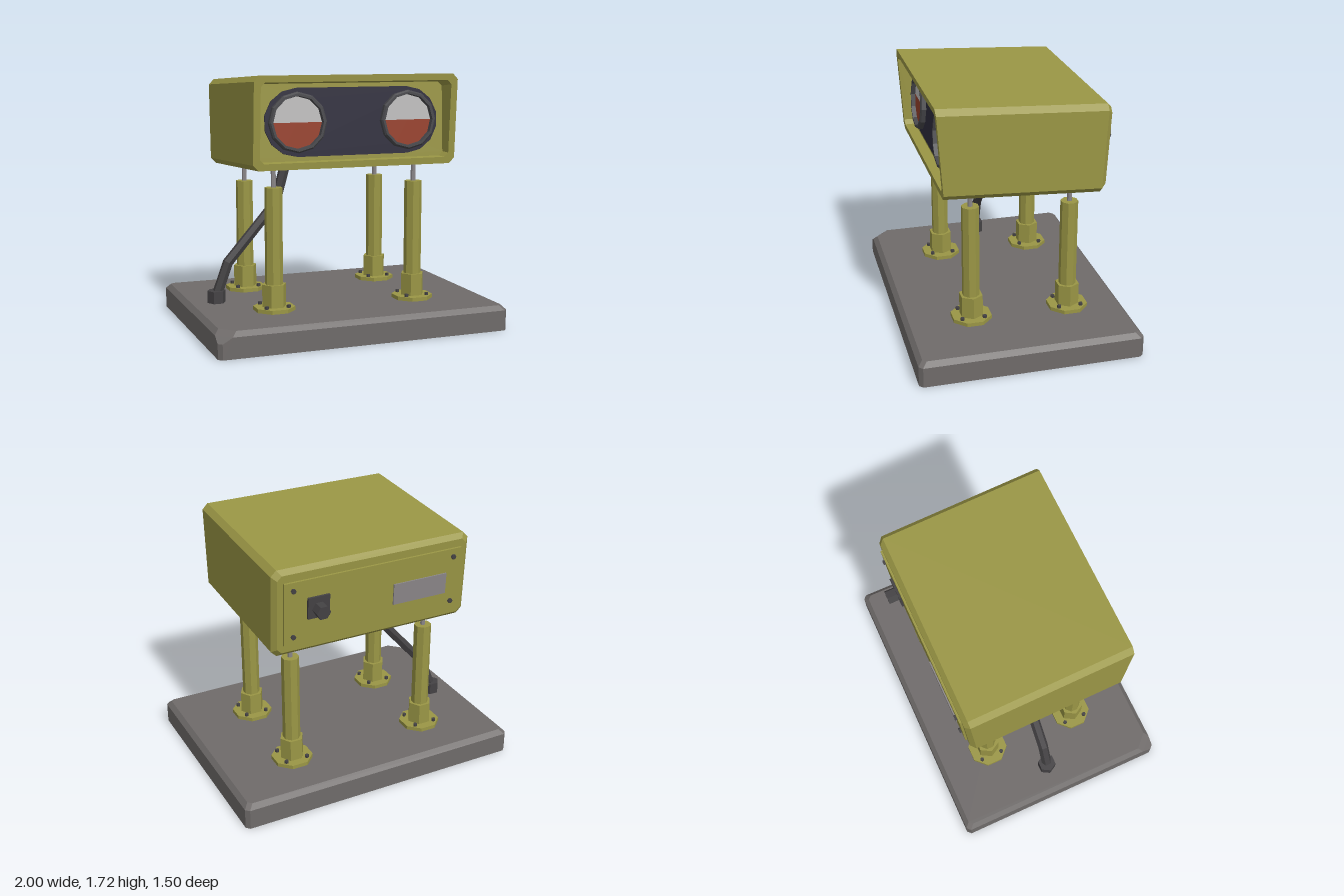
import * as THREE from 'three';
import { ConvexGeometry } from 'three/addons/geometries/ConvexGeometry.js';

const paint = (name, color, extra = {}) => {
  const m = new THREE.MeshStandardMaterial({ color, flatShading: true, ...extra });
  m.name = name;
  return m;
};

export function createModel() {
  const olive = paint('olive paint', 0x9a9645);
  const concrete = paint('concrete', 0x6f6b6a);
  const dark = paint('dark rubber', 0x444244);
  const navy = paint('navy glass', 0x2f2d3d);
  const white = paint('white lens', 0xbfbebe);
  const red = paint('red lens', 0x97402b);
  const steel = paint('steel', 0x8b8789);

  const model = new THREE.Group();
  model.name = 'approachLightUnit';

  const add = (parent, name, geometry, material, x = 0, y = 0, z = 0) => {
    const mesh = new THREE.Mesh(geometry, material);
    mesh.name = name;
    mesh.position.set(x, y, z);
    parent.add(mesh);
    return mesh;
  };
  // Upright prism; a half-step turn puts flats on the axes
  const prism = (r, h, sides, flats = false) =>
    new THREE.CylinderGeometry(r, r, h, sides).rotateY(flats ? Math.PI / sides : Math.PI / 2);

  // Base slab: bevelled, with one chipped front corner
  const pts = [];
  const pair = (sx, sz, y, X, Z, cx, cz) => pts.push(
    new THREE.Vector3(sx * X, y, sz * (Z - cz)), new THREE.Vector3(sx * (X - cx), y, sz * Z));
  for (const sx of [-1, 1]) for (const sz of [-1, 1]) {
    const chipped = sx < 0 && sz > 0;
    pair(sx, sz, 0, 1, 0.75, 0.025, 0.025);
    if (chipped) pair(sx, sz, 0.1, 1, 0.75, 0.025, 0.025);
    const c = chipped ? 0.09 : 0.025;
    pair(sx, sz, 0.138, 1, 0.75, c, c);
    pair(sx, sz, 0.17, 0.97, 0.72, c, c);
  }
  add(model, 'baseSlab', new ConvexGeometry(pts), concrete);

  // Four legs: flange, bolts, socket, tube and adjusting rod
  for (const [z, top] of [[0.3, 0.985], [-0.37, 0.95]]) for (const x of [-0.5, 0.5]) {
    const leg = new THREE.Group();
    leg.name = z > 0 ? 'frontLeg' : 'rearLeg';
    leg.position.set(x, 0, z);
    model.add(leg);
    add(leg, 'flange', prism(0.14, 0.028, 8, true), olive, 0, 0.182, 0);
    add(leg, 'socket', prism(0.082, 0.15, 6), olive, 0, 0.27, 0);
    add(leg, 'tube', prism(0.059, top - 0.19, 8, true), olive, 0, (top + 0.19) / 2, 0);
    add(leg, 'rod', prism(0.017, 1.14 - top, 8), steel, 0, (top + 1.12) / 2, 0);
    for (let i = 0; i < 4; i++) {
      const a = Math.PI / 4 + i * Math.PI / 2;
      add(leg, 'flangeBolt', prism(0.014, 0.02, 6), dark, 0.107 * Math.cos(a), 0.204, 0.107 * Math.sin(a));
    }
  }

  // Cable conduit with a hexagonal floor fitting
  add(model, 'conduitFitting', prism(0.063, 0.085, 6), dark, -0.803, 0.21, -0.035);
  const path = new THREE.CatmullRomCurve3([[-0.8, 0.22], [-0.72, 0.44], [-0.38, 0.83], [-0.3, 1.12]]
    .map(([x, y]) => new THREE.Vector3(x, y, -0.033)));
  path.getPointAt = path.getPoint; // one straight segment per span
  path.getTangentAt = path.getTangent;
  add(model, 'conduit', new THREE.TubeGeometry(path, 3, 0.036, 6), dark);

  // Tilted head
  const head = new THREE.Group();
  head.name = 'lampHead';
  head.position.set(0, 1.39, 0);
  head.rotation.x = -0.052;
  model.add(head);

  // Housing shell: chamfered sections from the rear, round the rim and into the recess
  const ring = (hx, hy, c, zAt) => [
    [hx, -hy + c], [hx, hy - c], [hx - c, hy], [-hx + c, hy],
    [-hx, hy - c], [-hx, -hy + c], [-hx + c, -hy], [hx - c, -hy],
  ].map(([x, y]) => [x, y, zAt(y)]);
  const hood = (y) => 0.5305 + 0.12 * y;
  const rings = [
    ring(0.67, 0.267, 0.03, () => -0.566),
    ring(0.7, 0.297, 0.037, () => -0.535),
    ring(0.7, 0.297, 0.037, hood),
    ring(0.655, 0.254, 0.028, hood),
    ring(0.648, 0.247, 0.028, () => 0.43),
  ];
  const pos = [];
  for (let i = 0; i + 1 < rings.length; i++) for (let j = 0; j < 8; j++) {
    const k = (j + 1) % 8;
    const [a, b, c, d] = [rings[i][j], rings[i][k], rings[i + 1][k], rings[i + 1][j]];
    pos.push(...a, ...b, ...c, ...a, ...c, ...d);
  }
  for (let j = 1; j < 7; j++) {
    const back = rings[0], front = rings[4];
    pos.push(...back[0], ...back[j + 1], ...back[j]);
    pos.push(...front[0], ...front[j], ...front[j + 1]);
  }
  const shell = new THREE.BufferGeometry();
  shell.setAttribute('position', new THREE.Float32BufferAttribute(pos, 3));
  shell.computeVertexNormals();
  add(head, 'housing', shell, olive);

  // Dark faceplate with rounded ends
  const plate = [];
  for (const side of [1, -1]) for (let k = 0; k <= 7; k++) {
    const a = -Math.PI / 2 + k * Math.PI / 7;
    plate.push(new THREE.Vector2(side * (0.382 + 0.222 * Math.cos(a)), side * 0.22 * Math.sin(a)));
  }
  add(head, 'faceplate', new THREE.ExtrudeGeometry(new THREE.Shape(plate),
    { depth: 0.009, bevelEnabled: false }), navy, 0, 0, 0.43);

  // Lamps: bezel ring with a white upper and red lower lens
  const bezel = new THREE.LatheGeometry([[0.195, 0], [0.195, 0.03], [0.185, 0.04], [0.17, 0.04], [0.165, 0]]
    .map(([r, y]) => new THREE.Vector2(r, y)), 12);
  // Reverse the profile winding so the ring faces outward, and aim it forward
  bezel.rotateX(Math.PI / 2);
  const bezelPaint = paint('bezel grey', 0x47474b, { side: THREE.DoubleSide });
  for (const x of [-0.384, 0.384]) {
    add(head, 'lampBezel', bezel, bezelPaint, x, 0, 0.437);
    add(head, 'whiteLens', new THREE.CircleGeometry(0.168, 6, 0, Math.PI), white, x, 0, 0.448);
    add(head, 'redLens', new THREE.CircleGeometry(0.168, 6, Math.PI, Math.PI), red, x, 0, 0.448);
  }

  // Rear access panel with screws, label plate and cable connector
  const box = (w, h, d) => new THREE.BoxGeometry(w, h, d);
  add(head, 'rearPanel', box(1.26, 0.43, 0.02), olive, 0, 0, -0.57);
  for (const x of [-0.57, 0.57]) for (const y of [-0.16, 0.16])
    add(head, 'panelScrew', prism(0.017, 0.016, 6).rotateX(Math.PI / 2), dark, x, y, -0.586);
  add(head, 'labelPlate', box(0.39, 0.145, 0.009), steel, -0.33, -0.02, -0.584);
  add(head, 'connectorPlate', box(0.15, 0.145, 0.018), dark, 0.4, 0.02, -0.586);
  add(head, 'connector', prism(0.048, 0.075, 6).rotateX(Math.PI / 2), dark, 0.4, 0.01, -0.625);

  return model;
}
